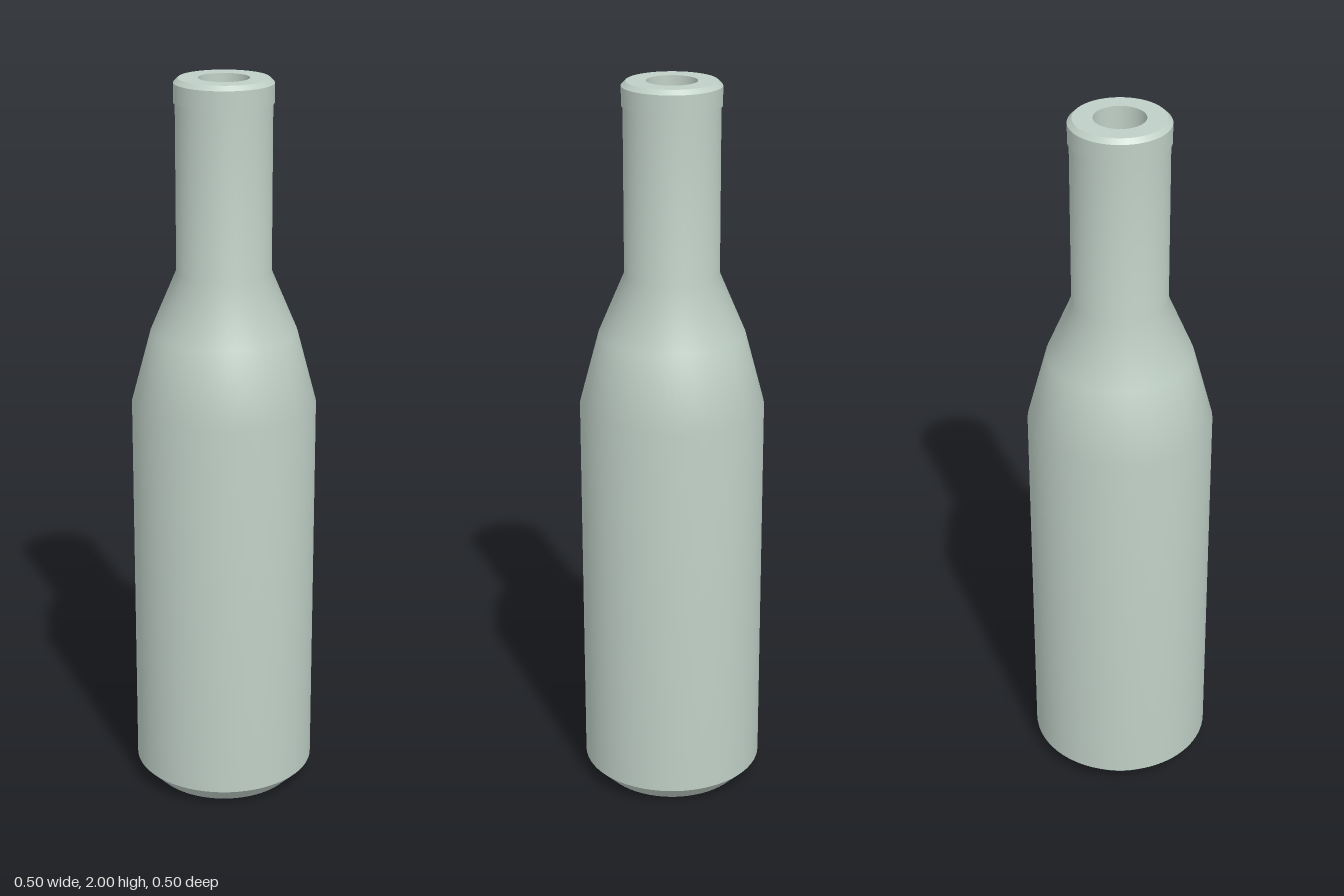
import * as THREE from 'three';
import { mergeGeometries } from 'three/addons/utils/BufferGeometryUtils.js';

const SEGMENTS = 64;

// Smooth surface of revolution through [radius, height] points
function lathe(points) {
  return new THREE.LatheGeometry(points.map(([r, y]) => new THREE.Vector2(r, y)), SEGMENTS);
}

// One lathe per profile segment, so every edge between segments stays sharp
function creasedLathe(points) {
  return mergeGeometries(points.slice(1).map((p, i) => lathe([points[i], p])));
}

export function createModel() {
  const group = new THREE.Group();
  group.name = 'bottle';
  const glass = new THREE.MeshStandardMaterial({ color: 0xbfcfc6, side: THREE.DoubleSide });
  glass.name = 'paleGreenGlass';

  const add = (name, geometry) => {
    const mesh = new THREE.Mesh(geometry, glass);
    mesh.name = name;
    group.add(mesh);
  };

  // Chamfer around the open bottom
  add('baseChamfer', lathe([[0.2, 0], [0.25, 0.05]]));

  // Thin shell: straight body, two-step shoulder, neck
  add('bodyAndNeck', lathe([[0.25, 0.05], [0.25, 1.125], [0.197, 1.325], [0.127, 1.49], [0.127, 1.937]]));

  // Thick mouth ring with a chamfered top and a narrow hole
  add('lip', creasedLathe([
    [0.067, 1.937], [0.131, 1.937], [0.131, 1.988], [0.119, 2], [0.067, 2], [0.067, 1.937],
  ]));

  return group;
}
